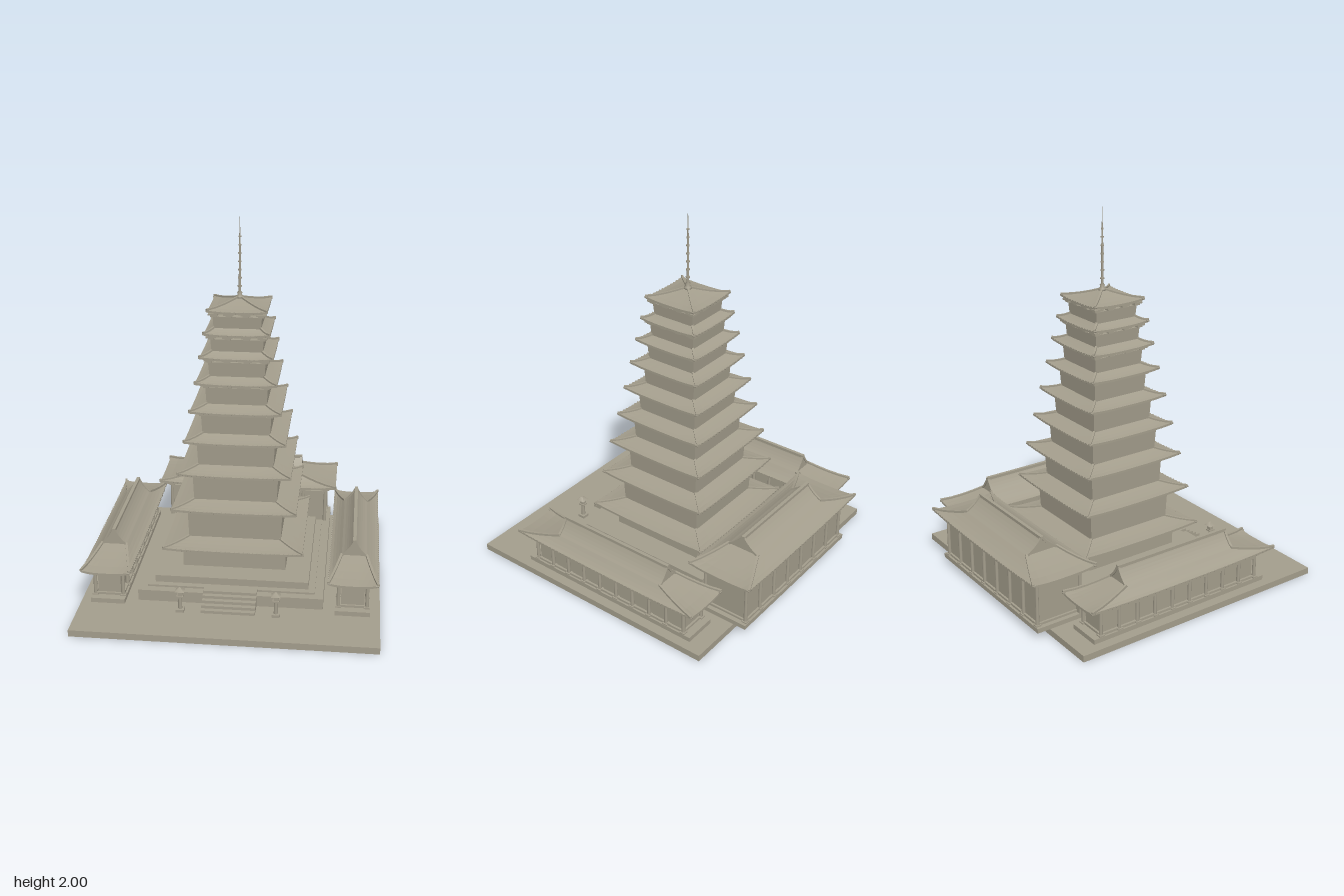
import * as THREE from 'three';
import { mergeGeometries } from 'three/addons/utils/BufferGeometryUtils.js';

const stone = new THREE.MeshStandardMaterial({ color: 0xa39d8c });
stone.name = 'stone';

// Merge a list of geometries into one named mesh
function part(parent, name, geos) {
  const flat = geos.map((g) => {
    const n = g.index ? g.toNonIndexed() : g;
    n.deleteAttribute('uv');
    return n;
  });
  const mesh = new THREE.Mesh(mergeGeometries(flat), stone);
  mesh.name = name;
  parent.add(mesh);
  return mesh;
}

// Box by width, depth, bottom, top and centre
function box(w, d, y0, y1, x = 0, z = 0) {
  return new THREE.BoxGeometry(w, y1 - y0, d).translate(x, (y0 + y1) / 2, z);
}

// Square bar running between two points
function bar(a, b, size) {
  const A = new THREE.Vector3(...a), B = new THREE.Vector3(...b);
  const o = new THREE.Object3D();
  o.position.copy(A).add(B).multiplyScalar(0.5);
  o.lookAt(B);
  o.updateMatrix();
  return new THREE.BoxGeometry(size, size, A.distanceTo(B) + size / 2).applyMatrix4(o.matrix);
}

// Curved height on a hipped roof; s runs from eave to top
const slope = (y0, y1, s) => y0 + (y1 - y0) * Math.pow(s, 1.35);

// Hipped roof lofted from rectangles, with lifted eave corners and a closed underside
function hipRoof(hx, hz, tx, tz, y0, y1, lift, thick = 0.012) {
  const rows = [[0, 0, y0 - thick, 0], [hx, hz, y0 - thick, lift]];
  for (let i = 0; i <= 4; i++) {
    const s = i / 4;
    rows.push([hx + (tx - hx) * s, hz + (tz - hz) * s, slope(y0, y1, s), lift * (1 - s) ** 2]);
  }
  rows.push([0, 0, y1, 0]);
  const n = 8, ring = n * 4, pos = [], idx = [];
  for (const [a, b, y, up] of rows) {
    for (let k = 0; k < 4; k++) {
      for (let j = 0; j < n; j++) {
        const t = -1 + (2 * j) / n;
        const [u, v] = [[t, 1], [1, -t], [-t, -1], [-1, t]][k];
        pos.push(u * a, y + up * Math.abs(t) ** 3, v * b);
      }
    }
  }
  for (let i = 0; i < rows.length - 1; i++) {
    for (let j = 0; j < ring; j++) {
      const a = i * ring + j, b = i * ring + ((j + 1) % ring);
      idx.push(a, b, b + ring, a, b + ring, a + ring);
    }
  }
  const g = new THREE.BufferGeometry();
  g.setAttribute('position', new THREE.Float32BufferAttribute(pos, 3));
  g.setIndex(idx);
  const out = g.toNonIndexed();
  out.computeVertexNormals();
  return out;
}

// Ridge bars down the four hips
function hipBars(hx, hz, tx, tz, y0, y1, lift, size) {
  const out = [];
  const at = (s, sx, sz) => [sx * (hx + (tx - hx) * s),
    slope(y0, y1, s) + lift * (1 - s) ** 2 + size * 0.25, sz * (hz + (tz - hz) * s)];
  for (const sx of [-1, 1]) for (const sz of [-1, 1]) for (let i = 0; i < 4; i++) {
    out.push(bar(at(i / 4, sx, sz), at((i + 1) / 4, sx, sz), size));
  }
  return out;
}

// Round tile ends along the eaves facing +z and -z
function tileEnds(hx, hz, y, lift) {
  const out = [], n = Math.round((2 * hx) / 0.024);
  for (let i = 0; i <= n; i++) {
    const t = -1 + (2 * i) / n;
    for (const s of [-1, 1]) {
      out.push(new THREE.CylinderGeometry(0.006, 0.006, 0.016, 6).rotateX(Math.PI / 2)
        .translate(t * hx, y + lift * Math.abs(t) ** 3, s * hz));
    }
  }
  return out;
}

// Long hall with hip-and-gable roof, its ridge running along z
function hall(name, o) {
  const g = new THREE.Group();
  g.name = name;
  const { L, W, R, G, eave, gable, ridge, baseX, baseZ, colX, colZ, bays, wall } = o;
  const top = eave - 0.034;
  part(g, 'base', [box(baseX * 2, baseZ * 2, 0.035, 0.06)]);
  part(g, 'walls', [box(wall * 2, colZ * 2 - 0.01, 0.06, top)]);
  const cols = [], brackets = [];
  const post = (x, z) => {
    cols.push(new THREE.CylinderGeometry(0.009, 0.01, top - 0.06, 10).translate(x, (top + 0.06) / 2, z));
    cols.push(box(0.03, 0.03, 0.06, 0.067, x, z));
    brackets.push(box(0.03, 0.03, top, top + 0.012, x, z), box(0.05, 0.05, top + 0.012, eave - 0.011, x, z));
  };
  for (let i = 0; i <= bays; i++) {
    const z = -colZ + (2 * colZ * i) / bays;
    post(colX, z);
    post(-colX, z);
  }
  part(g, 'columns', cols);
  part(g, 'brackets', brackets);
  // Tie beams above and sills below
  const beams = [];
  for (const [y0, y1] of [[top - 0.018, top], [0.06, 0.072]]) {
    for (const s of [-1, 1]) {
      beams.push(box(0.012, colZ * 2, y0, y1, s * colX, 0), box(colX * 2, 0.012, y0, y1, 0, s * colZ));
    }
  }
  part(g, 'beams', beams);
  // Lower hipped skirt and upper gabled cap
  const lift = 0.012, rise = ridge - gable;
  part(g, 'lowerRoof', [hipRoof(W, L, G, R, eave, gable, lift)]);
  const curve = new THREE.QuadraticBezierCurve(new THREE.Vector2(G, gable),
    new THREE.Vector2(G * 0.4, gable + rise * 0.35), new THREE.Vector2(0, ridge));
  const right = curve.getPoints(6);
  const left = right.slice(0, -1).reverse().map((p) => new THREE.Vector2(-p.x, p.y));
  part(g, 'upperRoof', [new THREE.ExtrudeGeometry(new THREE.Shape([...right, ...left]),
    { depth: R * 2, bevelEnabled: false }).translate(0, 0, -R)]);
  const ridges = [box(0.018, R * 2 + 0.01, ridge - 0.01, ridge + 0.006),
    ...hipBars(W, L, G, R, eave, gable, lift, 0.012)];
  for (const sz of [-1, 1]) for (const sx of [-1, 1]) for (let i = 0; i < 6; i++) {
    const p = right[i], q = right[i + 1];
    ridges.push(bar([sx * p.x, p.y, sz * R], [sx * q.x, q.y, sz * R], 0.012));
  }
  part(g, 'ridges', ridges);
  part(g, 'eaveTiles', tileEnds(L, W - 0.005, eave - 0.004, lift).map((t) => t.rotateY(Math.PI / 2)));
  return g;
}

function pagoda() {
  const g = new THREE.Group();
  g.name = 'pagoda';
  // Each storey: eave height, eave half width, body half width
  const tiers = [[0.277, 0.368, 0.275], [0.484, 0.328, 0.252], [0.675, 0.296, 0.226], [0.845, 0.265, 0.205],
    [1.003, 0.238, 0.184], [1.151, 0.212, 0.163], [1.284, 0.19, 0.149], [1.405, 0.17, 0.138], [1.522, 0.153, 0.127]];
  let floor = 0.14;
  tiers.forEach(([eave, w, b], i) => {
    const last = i === tiers.length - 1, lift = 0.009;
    const top = eave - 0.03;
    // Body flares slightly toward its top
    const body = new THREE.CylinderGeometry(b * Math.SQRT2, (b - (i ? 0.007 : 0)) * Math.SQRT2, top - floor, 4, 1)
      .toNonIndexed().rotateY(Math.PI / 4).translate(0, (top + floor) / 2, 0);
    body.computeVertexNormals();
    part(g, 'storeyBody', [body]);
    const brackets = [];
    for (const t of [-0.97, -0.35, 0.35, 0.97]) for (const s of [-1, 1]) {
      for (const [x, z] of [[t * b, s * b * 0.97], [s * b * 0.97, t * b]]) {
        brackets.push(box(0.03, 0.03, top, top + 0.01, x, z), box(0.05, 0.05, top + 0.01, eave - 0.011, x, z));
      }
    }
    part(g, 'storeyBrackets', brackets);
    const tip = last ? 0.004 : tiers[i + 1][2] - 0.009;
    const y1 = eave + (last ? 0.046 : 0.028);
    part(g, 'storeyRoof', [hipRoof(w, w, tip, tip, eave, y1, lift)]);
    part(g, 'hipRidges', hipBars(w, w, tip, tip, eave, y1, lift, 0.01));
    part(g, 'eaveTiles', [...tileEnds(w, w - 0.004, eave - 0.004, lift),
      ...tileEnds(w - 0.01, w - 0.012, eave - 0.009, lift).map((t) => t.rotateY(Math.PI / 2))]);
    floor = eave;
  });
  // Finial with stacked rings
  const profile = [[0, 1.55], [0.02, 1.56], [0.02, 1.572], [0.01, 1.58], [0.014, 1.59], [0.006, 1.6],
    [0.005, 1.83], [0.003, 1.9], [0, 2.0]].map(([x, y]) => new THREE.Vector2(x, y));
  const spire = [new THREE.LatheGeometry(profile, 12)];
  for (let i = 0; i < 7; i++) {
    spire.push(new THREE.CylinderGeometry(0.011 - i * 0.0006, 0.011 - i * 0.0006, 0.007, 12).translate(0, 1.625 + i * 0.043, 0));
  }
  part(g, 'spire', spire);
  return g;
}

export function createModel() {
  const model = new THREE.Group();
  model.name = 'templeCompound';
  part(model, 'ground', [box(1.56, 1.49, 0, 0.035, 0, 0.055)]);

  const tower = pagoda();
  tower.position.z = -0.027;
  part(tower, 'terrace', [box(0.97, 0.97, 0.035, 0.095), box(0.88, 0.88, 0.095, 0.105), box(0.81, 0.81, 0.105, 0.143)]);
  model.add(tower);

  // Front steps
  const steps = [];
  for (let i = 0; i < 5; i++) steps.push(box(0.28, 0.145 - i * 0.025, 0.035, 0.05 + i * 0.015, 0, 0.415 + (0.145 - i * 0.025) / 2));
  part(model, 'steps', steps);

  // Side galleries
  for (const s of [-1, 1]) {
    const gallery = hall(s > 0 ? 'leftGallery' : 'rightGallery', { L: 0.585, W: 0.126, R: 0.343, G: 0.065,
      eave: 0.225, gable: 0.277, ridge: 0.36, baseX: 0.09, baseZ: 0.55, colX: 0.074, colZ: 0.5, bays: 9, wall: 0.06 });
    gallery.position.set(s * 0.638, 0, -0.042);
    model.add(gallery);
  }
  // Rear hall
  const rear = hall('rearHall', { L: 0.517, W: 0.184, R: 0.305, G: 0.09,
    eave: 0.318, gable: 0.37, ridge: 0.447, baseX: 0.145, baseZ: 0.485, colX: 0.127, colZ: 0.455, bays: 7, wall: 0.122 });
  rear.rotation.y = Math.PI / 2;
  rear.position.z = -0.617;
  model.add(rear);

  // Stone lanterns
  for (const s of [-1, 1]) {
    const cap = new THREE.ConeGeometry(0.034, 0.022, 4).rotateY(Math.PI / 4).translate(0, 0.163, 0);
    const lantern = part(model, s > 0 ? 'leftLantern' : 'rightLantern', [
      box(0.042, 0.042, 0.035, 0.05), new THREE.CylinderGeometry(0.009, 0.011, 0.07, 8).translate(0, 0.085, 0),
      box(0.034, 0.034, 0.118, 0.126), box(0.024, 0.024, 0.126, 0.152), cap]);
    lantern.position.set(s * 0.248, 0, 0.546);
  }
  return model;
}
